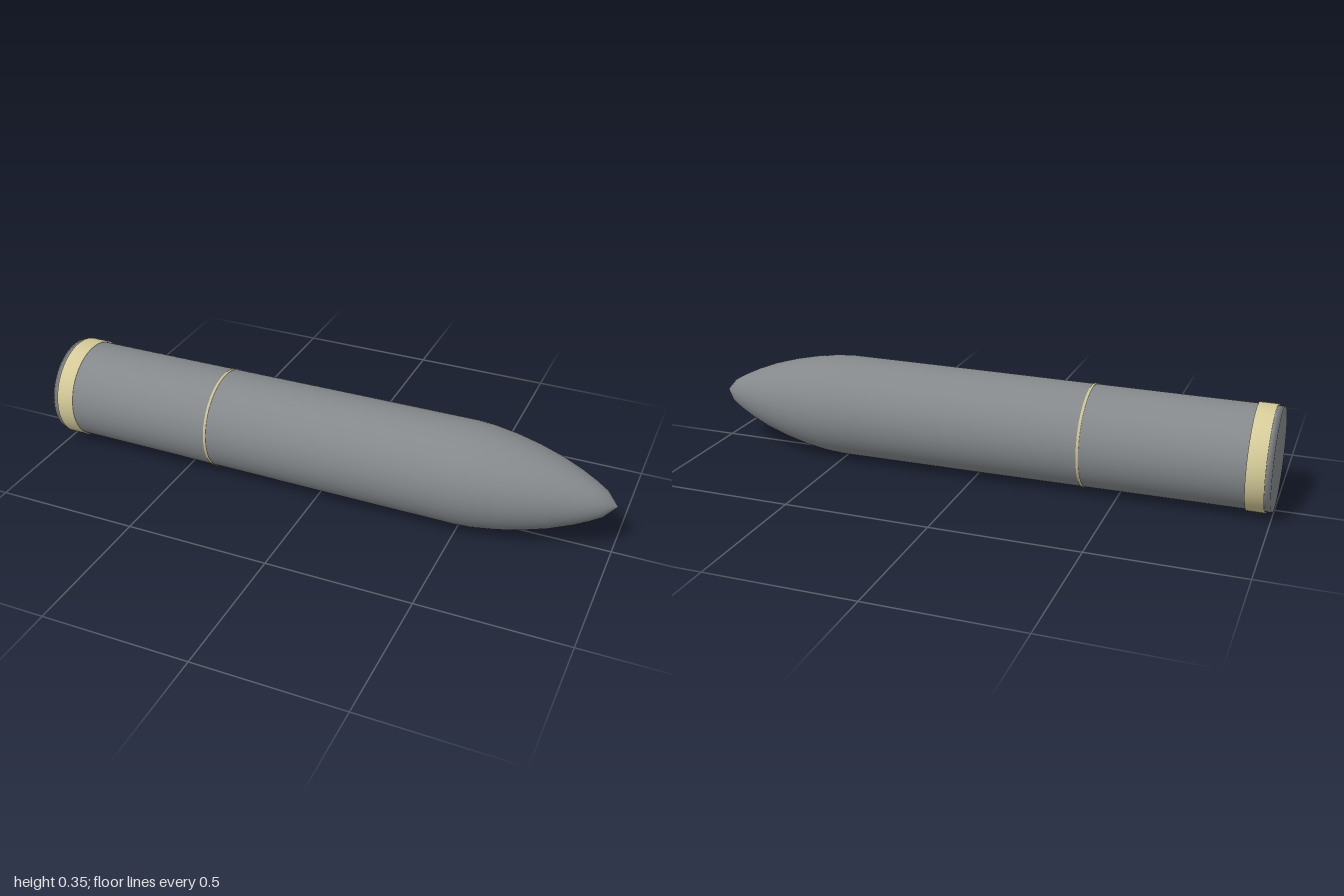
import * as THREE from 'three';

const SIDES = 64;
const AXIS_Y = 0.18;

// Revolve a profile of [x, radius] pairs around the horizontal axis
function revolve(name, profile, material) {
  const points = profile.map(([x, r]) => new THREE.Vector2(r, x));
  const geometry = new THREE.LatheGeometry(points, SIDES);
  geometry.rotateZ(-Math.PI / 2);
  const mesh = new THREE.Mesh(geometry, material);
  mesh.name = name;
  mesh.position.y = AXIS_Y;
  return mesh;
}

export function createModel() {
  const steel = new THREE.MeshStandardMaterial({ name: 'steelGrey', color: 0x84888b });
  const brass = new THREE.MeshStandardMaterial({ name: 'paleBrass', color: 0xd4ca98 });
  const group = new THREE.Group();
  group.name = 'shell';

  // Rear casing with its closed base
  group.add(revolve('casing', [
    [-1, 0], [-1, 0.17], [-0.98, 0.171], [-0.7, 0.172], [-0.385, 0.1735],
  ], steel));

  // Long forebody running into the rounded, pointed nose
  group.add(revolve('noseBody', [
    [-0.385, 0.1735], [0, 0.1755], [0.3, 0.1765], [0.5, 0.177], [0.56, 0.173],
    [0.64, 0.161], [0.72, 0.143], [0.8, 0.119], [0.87, 0.091], [0.92, 0.067],
    [0.96, 0.044], [0.985, 0.017], [1, 0],
  ], steel));

  // Wide driving band near the base
  group.add(revolve('drivingBand', [
    [-0.98, 0.168], [-0.98, 0.176], [-0.92, 0.176], [-0.92, 0.168],
  ], brass));

  // Thin ring at the casing joint
  group.add(revolve('jointRing', [
    [-0.389, 0.17], [-0.389, 0.1755], [-0.381, 0.1755], [-0.381, 0.17],
  ], brass));

  return group;
}
